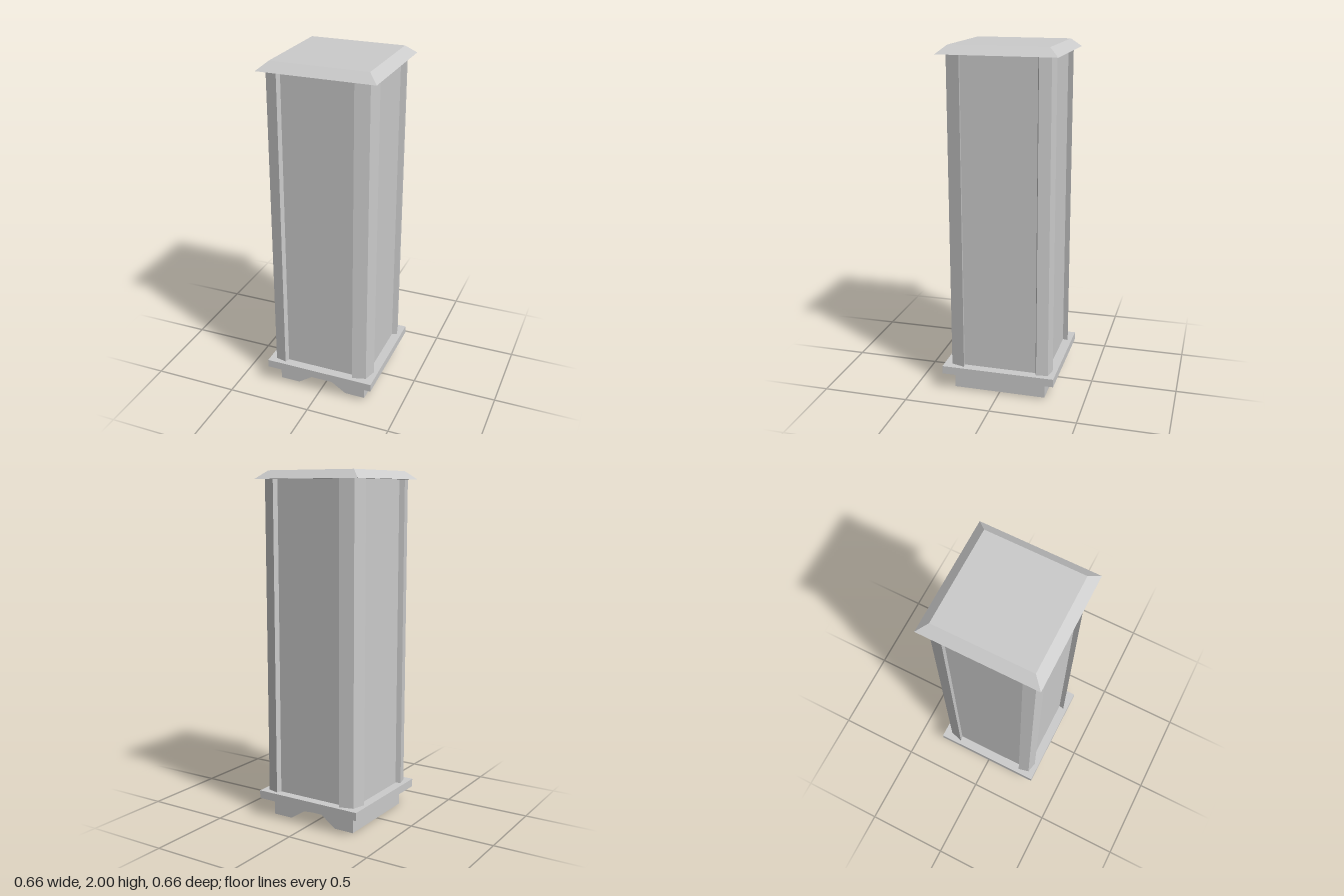
import * as THREE from 'three';

const material = new THREE.MeshStandardMaterial({ color: 0xcccccc, flatShading: true });

// heights of the stacked parts
const SLAB_Y = 0.106, BODY_Y = 0.153, ROOF_Y = 1.953, TOP_Y = 2;
const CORE = 0.277; // half width of the body

function addMesh(parent, geometry, name, x = 0, y = 0, z = 0) {
  const mesh = new THREE.Mesh(geometry, material);
  mesh.name = name;
  mesh.position.set(x, y, z);
  parent.add(mesh);
  return mesh;
}

function shapeFrom(points) {
  return new THREE.Shape(points.map(([x, y]) => new THREE.Vector2(x, y)));
}

// Corner post: two slightly splayed faces meeting in a blunt outer corner
function postGeometry(sx, sz, { corner, out, arm, inner }) {
  const outline = [
    [corner, corner], [arm, out], [inner, CORE - 0.01],
    [CORE - 0.01, inner], [out, arm],
  ].map(([x, z]) => [x * sx, -z * sz]);
  const geometry = new THREE.ExtrudeGeometry(shapeFrom(outline), {
    depth: ROOF_Y - BODY_Y, bevelEnabled: false,
  });
  return geometry.rotateX(-Math.PI / 2);
}

export function createModel() {
  const model = new THREE.Group();
  model.name = 'pillar';

  // Plinth with a shallow groove running front to back underneath
  const plinth = new THREE.ExtrudeGeometry(shapeFrom([
    [-0.272, 0], [-0.153, 0], [-0.06, 0.064], [0, 0.064], [0.06, 0.059],
    [0.15, 0], [0.272, 0], [0.272, SLAB_Y], [-0.272, SLAB_Y],
  ]), { depth: 0.54, bevelEnabled: false });
  addMesh(model, plinth, 'plinth', 0, 0, -0.268);

  // Base slab
  addMesh(model, new THREE.BoxGeometry(0.662, BODY_Y - SLAB_Y, 0.662), 'baseSlab',
    0, (SLAB_Y + BODY_Y) / 2, 0);

  // Plain body
  addMesh(model, new THREE.BoxGeometry(CORE * 2, ROOF_Y - BODY_Y, CORE * 2), 'body',
    0, (BODY_Y + ROOF_Y) / 2, 0);

  // Corner posts: opposite corners share a section
  const wide = { corner: 0.285, out: 0.308, arm: 0.206, inner: 0.213 };
  const narrow = { corner: 0.291, out: 0.306, arm: 0.226, inner: 0.212 };
  for (const sx of [-1, 1]) {
    for (const sz of [-1, 1]) {
      const name = (sz > 0 ? 'front' : 'back') + (sx > 0 ? 'Left' : 'Right') + 'Post';
      addMesh(model, postGeometry(sx, sz, sx === sz ? wide : narrow), name, 0, BODY_Y, 0);
    }
  }

  // Cap with sloping edges and a flat top
  const cap = new THREE.CylinderGeometry(0.277 * Math.SQRT2, 0.332 * Math.SQRT2, TOP_Y - ROOF_Y, 4)
    .rotateY(Math.PI / 4);
  addMesh(model, cap, 'cap', 0, (ROOF_Y + TOP_Y) / 2, 0);

  return model;
}
